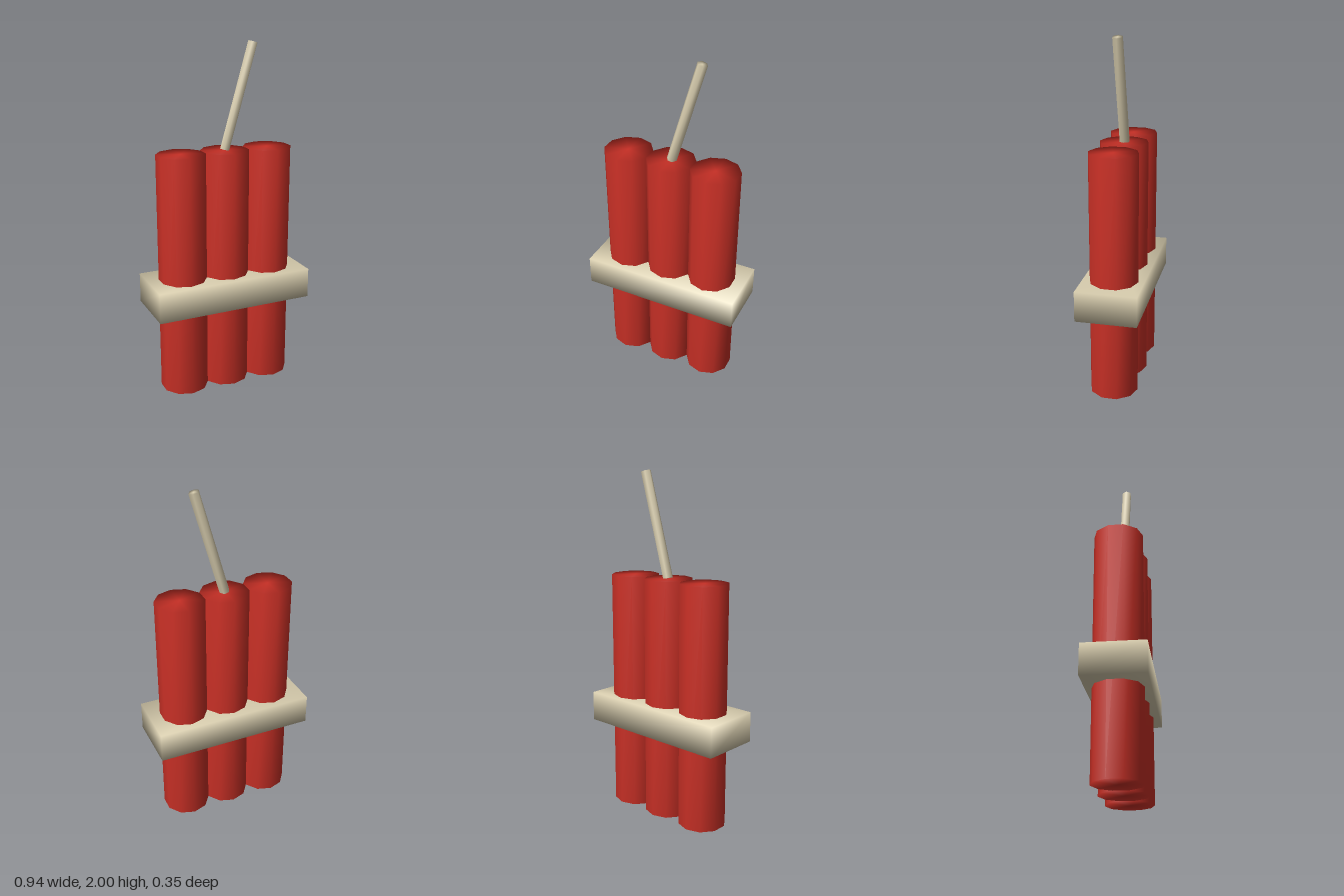
import * as THREE from 'three';
import { mergeVertices } from 'three/addons/utils/BufferGeometryUtils.js';

// Weld all corners so shading runs smoothly over every edge, caps included
function smooth(geometry) {
  geometry.deleteAttribute('normal');
  geometry.deleteAttribute('uv');
  const welded = mergeVertices(geometry, 1e-4);
  welded.computeVertexNormals();
  return welded;
}

export function createModel() {
  const group = new THREE.Group();
  const red = new THREE.MeshStandardMaterial({ color: 0xc93026 });
  red.name = 'red';
  const beige = new THREE.MeshStandardMaterial({ color: 0xdacfb0 });
  beige.name = 'beige';

  const add = (name, geometry, material, x, y, z = 0) => {
    const mesh = new THREE.Mesh(smooth(geometry), material);
    mesh.name = name;
    mesh.position.set(x, y, z);
    group.add(mesh);
    return mesh;
  };

  // Three ten-sided sticks side by side
  const height = 1.405;
  const spacing = 0.264;
  ['rightStick', 'middleStick', 'leftStick'].forEach((name, i) => {
    add(name, new THREE.CylinderGeometry(0.139, 0.139, height, 10), red, (i - 1) * spacing, height / 2);
  });

  // Band holding the sticks together
  add('band', new THREE.BoxGeometry(0.935, 0.175, 0.347), beige, 0, 0.588);

  // Six-sided fuse leaning to the left
  const fuse = add('fuse', new THREE.CylinderGeometry(0.029, 0.029, 0.61, 6, 1, false, Math.PI / 2),
    beige, 0.086, 1.699, -0.003);
  fuse.rotation.z = -0.281;

  return group;
}
